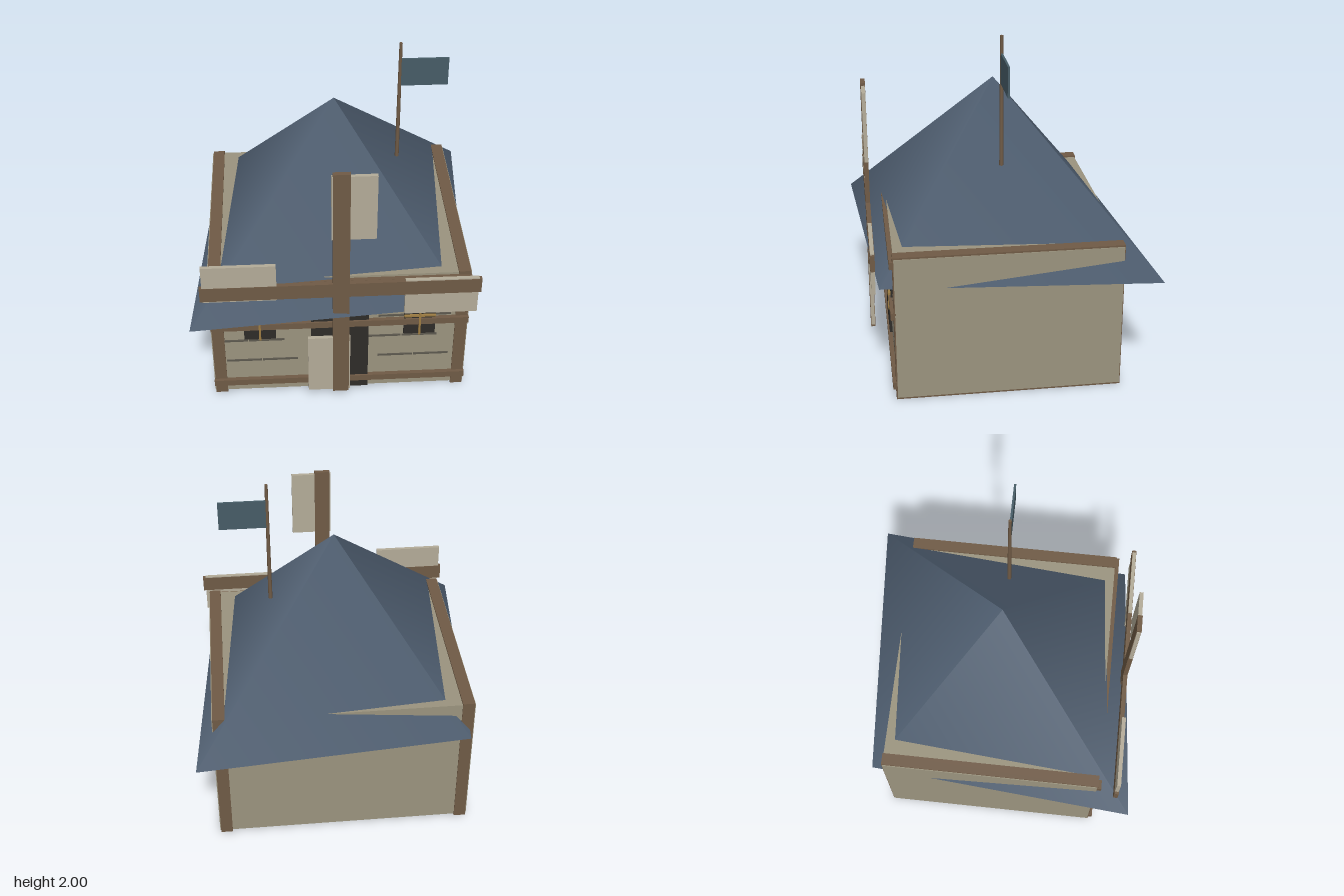
import * as THREE from 'three';

const mat = (color) => new THREE.MeshStandardMaterial({ color });

export function createModel() {
  const mill = new THREE.Group();
  mill.name = 'windmill';
  const plaster = mat(0x9a937e), wood = mat(0x6f5a45), slate = mat(0x4d5c6e);
  const dark = mat(0x2e2c28), groove = mat(0x5c584e), gold = mat(0x9c7c42);
  const canvas = mat(0xb3ab98), cloth = mat(0x465c66);

  // box given by its extents on each axis
  const box = (name, material, [x0, x1], [y0, y1], [z0, z1], parent = mill) => {
    const m = new THREE.Mesh(new THREE.BoxGeometry(x1 - x0, y1 - y0, z1 - z0), material);
    m.position.set((x0 + x1) / 2, (y0 + y1) / 2, (z0 + z1) / 2);
    m.name = name;
    parent.add(m);
    return m;
  };

  // walls with a timber frame slab at each side
  box('walls', plaster, [-0.75, 0.75], [0.012, 0.875], [-0.64, 0.64]);
  for (const s of [-1, 1]) {
    box('sideFrame', wood, [s * 0.71 - 0.035, s * 0.71 + 0.035], [0, 0.885], [-0.645, 0.647]);
  }

  // front cross beams
  for (const y of [0.09, 0.53, 0.84]) {
    box('frontBeam', wood, [-0.75, 0.75], [y - 0.021, y + 0.021], [0.635, 0.665]);
  }

  // door and windows
  box('door', dark, [-0.168, 0.168], [0.015, 0.65], [0.63, 0.655]);
  for (const s of [-1, 1]) {
    const x = s * 0.465;
    box('windowPane', dark, [x - 0.092, x + 0.092], [0.43, 0.72], [0.63, 0.655]);
    box('windowBarUpright', gold, [x - 0.006, x + 0.006], [0.43, 0.72], [0.65, 0.668]);
    box('windowBarLevel', gold, [x - 0.092, x + 0.092], [0.569, 0.581], [0.65, 0.668]);
  }

  // staggered masonry courses on the front
  [0.255, 0.412, 0.568].forEach((y, row) => {
    const shift = row % 2 ? -0.075 : 0;
    for (const start of [-0.67, -0.456, 0.225, 0.439]) {
      const x = start + shift;
      box('masonryCourse', groove, [x, x + 0.208], [y - 0.006, y + 0.006], [0.635, 0.646]);
    }
  });

  // four-sided roof, stretched along one diagonal
  const roof = new THREE.Mesh(new THREE.ConeGeometry(1, 0.97, 4), slate);
  roof.name = 'roof';
  roof.scale.set(1.2, 1, 1.02);
  roof.rotation.y = Math.PI / 4;
  roof.position.y = 0.69 + 0.485;
  mill.add(roof);

  // sail wheel: four arms, each with a canvas panel offset to one side
  const wheel = new THREE.Group();
  wheel.name = 'sailWheel';
  wheel.position.set(0, 0.877, 0.752);
  mill.add(wheel);
  box('uprightSpar', wood, [-0.047, 0.047], [-0.785, 0.785], [-0.0135, 0.0135], wheel);
  box('levelSpar', wood, [-0.785, 0.785], [-0.047, 0.047], [-0.013, 0.013], wheel);
  for (let i = 0; i < 4; i++) {
    const arm = new THREE.Group();
    arm.name = 'sailArm';
    arm.rotation.z = i * Math.PI / 2;
    box('sail', canvas, [-0.054, 0.19], [0.358, 0.77], [-0.011, 0.011], arm);
    wheel.add(arm);
  }

  // flag on its pole
  const pole = new THREE.Mesh(new THREE.CylinderGeometry(0.009, 0.012, 0.75, 8), wood);
  pole.name = 'flagPole';
  pole.position.set(0.373, 1.625, 0);
  mill.add(pole);
  box('flag', cloth, [0.38, 0.647], [1.73, 1.9], [-0.006, 0.006]);

  return mill;
}
